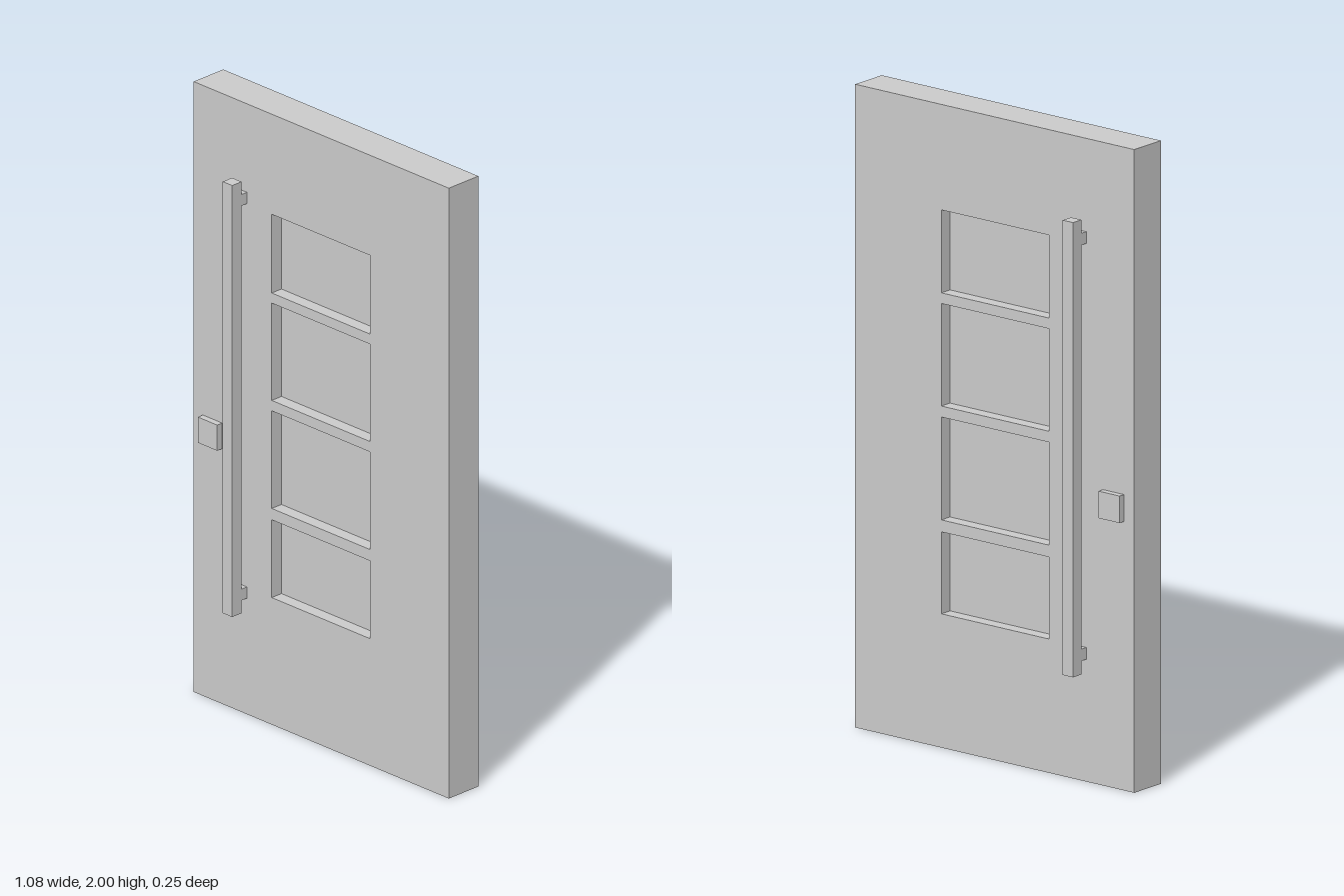
import * as THREE from 'three';

const material = new THREE.MeshStandardMaterial({ color: 0xcccccc, flatShading: true });
const HALF = 0.062; // half the door thickness

// Box given by its limits on each axis
function box(name, [x0, x1], [y0, y1], [z0, z1]) {
  const mesh = new THREE.Mesh(new THREE.BoxGeometry(x1 - x0, y1 - y0, z1 - z0), material);
  mesh.position.set((x0 + x1) / 2, (y0 + y1) / 2, (z0 + z1) / 2);
  mesh.name = name;
  return mesh;
}

function rectangle(path, [x0, x1], [y0, y1]) {
  path.moveTo(x0, y0).lineTo(x1, y0).lineTo(x1, y1).lineTo(x0, y1).closePath();
  return path;
}

export function createModel() {
  const door = new THREE.Group();
  door.name = 'door';

  // Door leaf with four window openings
  const windowX = [-0.21, 0.207];
  const windowRows = [[0.416, 0.671], [0.708, 1.028], [1.062, 1.381], [1.414, 1.672]];
  const outline = rectangle(new THREE.Shape(), [-0.541, 0.541], [0, 2]);
  for (const row of windowRows) outline.holes.push(rectangle(new THREE.Path(), windowX, row));
  const leafGeometry = new THREE.ExtrudeGeometry(outline, { depth: 2 * HALF, bevelEnabled: false });
  leafGeometry.translate(0, 0, -HALF);
  const leaf = new THREE.Mesh(leafGeometry, material);
  leaf.name = 'doorLeaf';
  door.add(leaf);

  // Recessed window panes
  windowRows.forEach((row, i) => door.add(box(`windowPane${i + 1}`, windowX, row, [-0.021, 0.021])));

  // Pull handle and lock plate on both faces
  for (const side of [1, -1]) {
    const label = side > 0 ? 'front' : 'back';
    const span = (near, far) => (side > 0 ? [near, far] : [-far, -near]);
    const handleX = [-0.355, -0.315];

    const handle = new THREE.Group();
    handle.name = `${label}Handle`;
    handle.add(box('handleBar', handleX, [0.338, 1.752], span(0.085, 0.124)));
    handle.add(box('lowerBracket', handleX, [0.38, 0.417], span(HALF, 0.085)));
    handle.add(box('upperBracket', handleX, [1.673, 1.71], span(HALF, 0.085)));
    door.add(handle);

    door.add(box(`${label}LockPlate`, [-0.502, -0.42], [0.836, 0.92], span(HALF, 0.083)));
  }

  return door;
}
